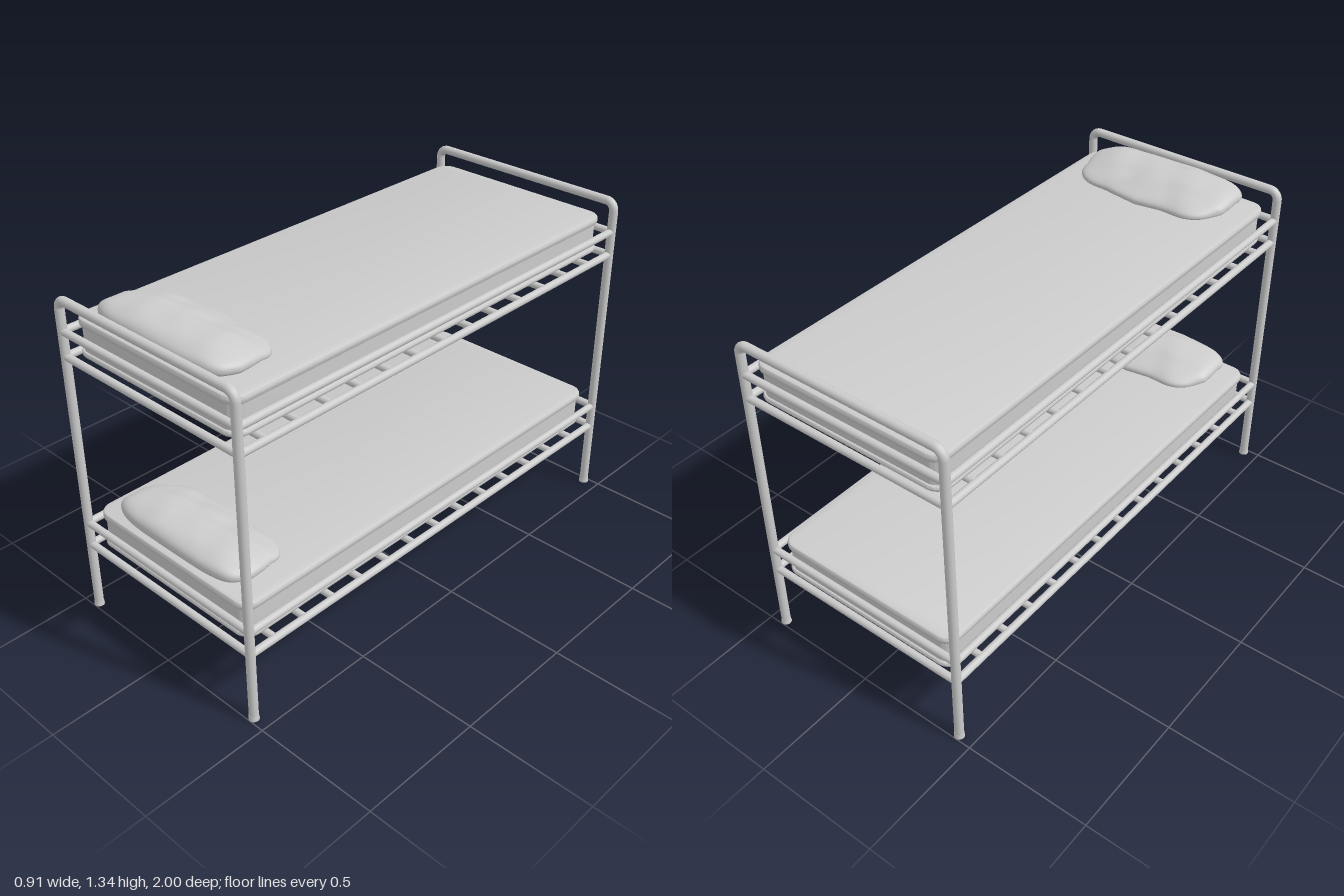
import * as THREE from 'three';
import { mergeVertices, toCreasedNormals } from 'three/addons/utils/BufferGeometryUtils.js';

const grey = new THREE.MeshStandardMaterial({ color: 0xcccccc });
const POST_X = 0.437, END_Z = 0.98, POST_R = 0.0175, RAIL_R = 0.0145;
const BAR_Y = 1.305, BEND = 0.035;

function add(parent, name, geometry, x = 0, y = 0, z = 0) {
  const mesh = new THREE.Mesh(geometry, grey);
  mesh.name = name;
  mesh.position.set(x, y, z);
  parent.add(mesh);
  return mesh;
}

// Straight tube along one axis, centred on its position
function rod(radius, length, axis) {
  const g = new THREE.CylinderGeometry(radius, radius, length, 20);
  if (axis === 'x') g.rotateZ(Math.PI / 2);
  if (axis === 'z') g.rotateX(Math.PI / 2);
  return g;
}

// Horizontal slab with rounded corners; its edge is rounded by bevel
function slab(halfX, halfZ, height, corner, bevel) {
  const x = halfX - bevel, z = halfZ - bevel, r = corner;
  const s = new THREE.Shape();
  s.moveTo(-x + r, -z);
  s.lineTo(x - r, -z).absarc(x - r, -z + r, r, -Math.PI / 2, 0);
  s.lineTo(x, z - r).absarc(x - r, z - r, r, 0, Math.PI / 2);
  s.lineTo(-x + r, z).absarc(-x + r, z - r, r, Math.PI / 2, Math.PI);
  s.lineTo(-x, -z + r).absarc(-x + r, -z + r, r, Math.PI, Math.PI * 1.5);
  const g = new THREE.ExtrudeGeometry(s, {
    depth: height - 2 * bevel, curveSegments: 6,
    bevelEnabled: bevel > 0, bevelThickness: bevel, bevelSize: bevel, bevelSegments: 4,
  });
  g.rotateX(-Math.PI / 2).translate(0, bevel, 0);
  return toCreasedNormals(g, 0.7);
}

// Soft pillow: a squared-off sphere, slumped towards the foot of the bed
function pillowGeometry() {
  let g = new THREE.SphereGeometry(1, 64, 40);
  g.deleteAttribute('uv');
  g.deleteAttribute('normal');
  g = mergeVertices(g, 1e-4);
  const p = g.attributes.position;
  const pow = (v, e) => Math.sign(v) * Math.abs(v) ** e;
  for (let i = 0; i < p.count; i++) {
    const b = p.getY(i);
    const ring = Math.hypot(p.getX(i), p.getZ(i)) || 1e-6;
    const spread = Math.min(ring, 1) ** 0.75;
    const u = pow(p.getX(i) / ring, 0.45) * spread;
    const w = pow(p.getZ(i) / ring, 0.45) * spread;
    const back = THREE.MathUtils.smoothstep(-w, -0.2, 1);
    // Outline: the back edge bulges in the middle, the sides taper to the back
    const x = u * (0.328 - 0.022 * back) + 0.006 * Math.sin(w * 7) * Math.abs(u) ** 3;
    const z = w * 0.148 - back * (0.026 * (1 - u * u) - 0.012 + 0.008 * Math.sin(u * 8 + 1));
    // Height: two humps with a dip between, plus a few soft creases
    const hump = 1 - 0.10 * Math.exp(-(((u - 0.22) / 0.3) ** 2)) - 0.12 * Math.max(u, 0) ** 3;
    const crease = 0.004 * Math.sin(u * 9 + w * 4) * Math.sin(w * 6 - u * 3 + 1);
    const belly = 0.036 - 0.018 * back;
    const rise = (0.062 * hump - 0.022 * back + crease) * pow(Math.max(b, 0), 0.8);
    const y = b >= 0 ? belly + rise : belly - (belly + 0.002) * Math.abs(b) ** 0.7;
    p.setXYZ(i, x, y, z);
  }
  g.computeVertexNormals();
  return g;
}

// End frame: two posts joined by a bent top bar
function endFrame() {
  const frame = new THREE.Group();
  frame.name = 'endFrame';
  const h = BAR_Y - BEND;
  for (const s of [-1, 1]) {
    add(frame, 'post', rod(POST_R, h, 'y'), s * POST_X, h / 2);
    add(frame, 'foot', new THREE.CylinderGeometry(0.018, 0.02, 0.018, 20), s * POST_X, 0.009);
    const bend = add(frame, 'postBend', new THREE.TorusGeometry(BEND, POST_R, 16, 12, Math.PI / 2),
      s * (POST_X - BEND), h);
    if (s < 0) bend.rotation.y = Math.PI;
  }
  add(frame, 'topBar', rod(POST_R, 2 * (POST_X - BEND), 'x'), 0, BAR_Y);
  return frame;
}

// One bunk; y = 0 is the centre of the lower rails
function bunk() {
  const group = new THREE.Group();
  group.name = 'bunk';
  for (const y of [0, 0.097]) {
    for (const s of [-1, 1]) {
      add(group, 'sideRail', rod(RAIL_R, 2 * END_Z, 'z'), s * POST_X, y, 0);
      add(group, 'endRail', rod(RAIL_R, 2 * POST_X, 'x'), 0, y, s * END_Z);
    }
  }
  for (let i = 0; i < 13; i++) {
    add(group, 'slat', rod(0.0135, 2 * POST_X, 'x'), 0, 0, -0.842 + i * 0.1423);
  }

  // Mattress with raised edging at top and bottom
  const mattress = new THREE.Group();
  mattress.name = 'mattress';
  mattress.position.set(-0.005, 0.0135, -0.008);
  add(mattress, 'mattressBody', slab(0.393, 0.957, 0.13, 0.05, 0), 0, 0.008);
  add(mattress, 'mattressTop', slab(0.404, 0.966, 0.032, 0.05, 0.01), 0, 0.115);
  add(mattress, 'mattressBase', slab(0.404, 0.966, 0.022, 0.05, 0.009), 0, 0);
  group.add(mattress);

  add(group, 'pillow', pillowGeometry(), -0.005, 0.16, 0.802);
  return group;
}

export function createModel() {
  const model = new THREE.Group();
  model.name = 'bunkBed';
  for (const s of [-1, 1]) {
    const frame = endFrame();
    frame.position.z = s * END_Z;
    model.add(frame);
  }
  for (const y of [0.289, 1.086]) {
    const b = bunk();
    b.position.y = y;
    model.add(b);
  }
  return model;
}
